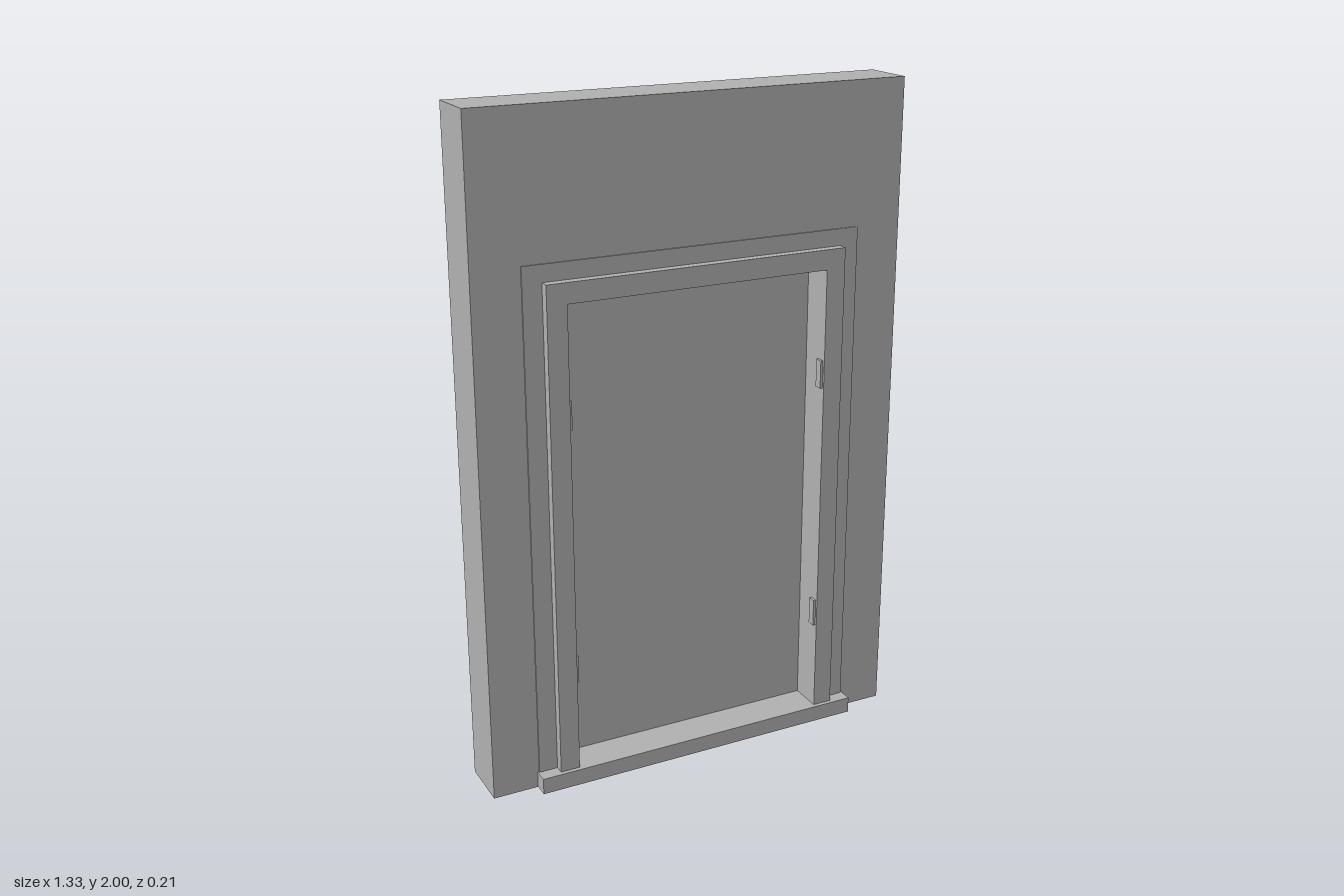
import * as THREE from 'three';

const plaster = new THREE.MeshStandardMaterial({ color: 0xb0b0b0 });
plaster.name = 'plain grey';

// Box given by its min and max corners
function box(name, [x0, y0, z0], [x1, y1, z1]) {
  const geometry = new THREE.BoxGeometry(x1 - x0, y1 - y0, z1 - z0);
  geometry.translate((x0 + x1) / 2, (y0 + y1) / 2, (z0 + z1) / 2);
  const mesh = new THREE.Mesh(geometry, plaster);
  mesh.name = name;
  return mesh;
}

// Upside-down U: outer half width and top, around the shared doorway opening
const OPEN_X = 0.405, OPEN_TOP = 1.47, SILL_TOP = 0.05;
function surround(name, outerX, bottom, outerTop, z0, z1) {
  const shape = new THREE.Shape([
    [-outerX, bottom], [-OPEN_X, bottom], [-OPEN_X, OPEN_TOP], [OPEN_X, OPEN_TOP],
    [OPEN_X, bottom], [outerX, bottom], [outerX, outerTop], [-outerX, outerTop],
  ].map(([x, y]) => new THREE.Vector2(x, y)));
  const geometry = new THREE.ExtrudeGeometry(shape, { depth: z1 - z0, bevelEnabled: false });
  geometry.translate(0, 0, z0);
  const mesh = new THREE.Mesh(geometry, plaster);
  mesh.name = name;
  return mesh;
}

export function createModel() {
  const model = new THREE.Group();
  model.name = 'doorwayWall';

  // Wall with a recessed doorway
  model.add(box('wallBack', [-0.665, 0, -0.105], [0.665, 2, -0.01]));
  model.add(surround('wallFront', 0.665, 0, 2, -0.01, 0.06));
  model.add(box('recessFloor', [-OPEN_X, 0, -0.01], [OPEN_X, SILL_TOP, 0.06]));

  // Thin backing panel, raised casing and doorstep
  model.add(surround('backingPanel', 0.522, SILL_TOP, 1.58, 0.06, 0.064));
  model.add(surround('doorCasing', 0.465, SILL_TOP, 1.53, 0.064, 0.092));
  model.add(box('doorstep', [-0.527, 0, 0.06], [0.527, SILL_TOP, 0.105]));

  // Hinge plates on both jambs
  for (const side of [-1, 1]) {
    for (const y of [0.33, 1.11]) {
      const a = side * 0.397, b = side * 0.407;
      model.add(box('hingePlate', [Math.min(a, b), y, 0.06], [Math.max(a, b), y + 0.085, 0.085]));
    }
  }
  return model;
}
